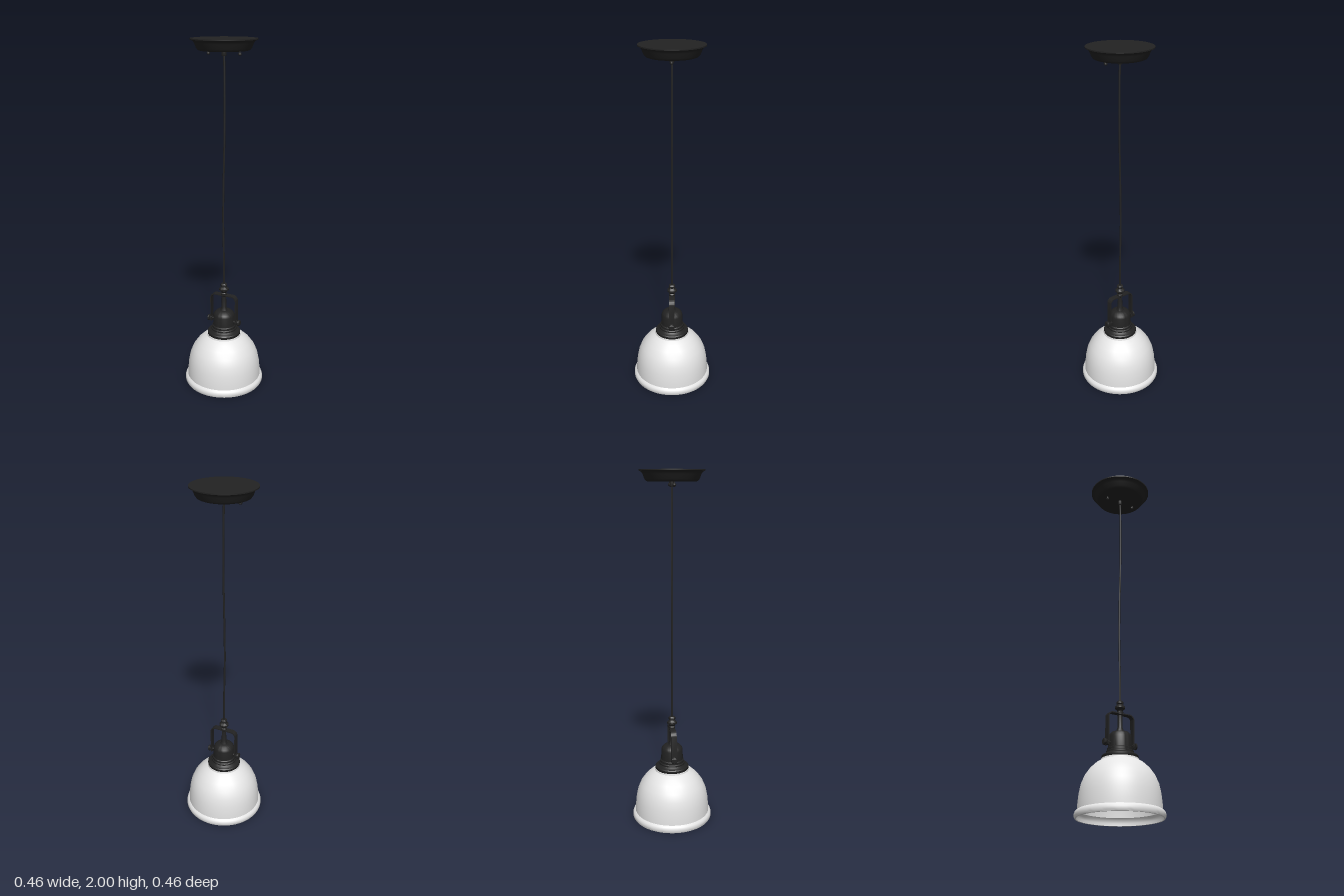
import * as THREE from 'three';
import { toCreasedNormals } from 'three/addons/utils/BufferGeometryUtils.js';

export function createModel() {
  const model = new THREE.Group();
  model.name = 'pendantLamp';
  const black = new THREE.MeshStandardMaterial({ color: 0x222222, side: THREE.DoubleSide });
  black.name = 'black metal';
  const white = new THREE.MeshStandardMaterial({ color: 0xe4e4e4, side: THREE.DoubleSide });
  white.name = 'white shade';

  const add = (name, geometry, material = black, parent = model) => {
    const mesh = new THREE.Mesh(geometry, material);
    mesh.name = name;
    parent.add(mesh);
    return mesh;
  };
  // Turned part from [radius, height] pairs, listed bottom to top on the outside
  const turned = (name, profile, material = black, segments = 48, parent = model) => {
    const points = profile.map(([r, y]) => new THREE.Vector2(r, y));
    const geometry = toCreasedNormals(new THREE.LatheGeometry(points, segments), 0.6);
    return add(name, geometry, material, parent);
  };

  // Ceiling canopy with its cord grip and two screws
  turned('canopy', [[0, 1.938], [0.128, 1.938], [0.138, 1.942], [0.146, 1.952], [0.155, 1.975],
    [0.163, 1.987], [0.177, 1.994], [0.177, 2], [0, 2]], black, 64);
  turned('cordGrip', [[0, 1.91], [0.012, 1.91], [0.014, 1.915], [0.014, 1.94]], black, 20);
  for (const side of [-1, 1]) {
    const screw = new THREE.Group();
    screw.name = 'canopyScrew';
    screw.position.set(side * 0.09, 0, 0);
    model.add(screw);
    turned('screwHead', [[0, 1.913], [0.007, 1.915], [0.01, 1.921], [0.008, 1.928],
      [0.004, 1.93], [0.004, 1.94]], black, 14, screw);
  }

  // Cord with a slight sway
  const cordPath = new THREE.CatmullRomCurve3([[0, 0.6], [-0.001, 0.8], [-0.005, 1.02], [-0.003, 1.2],
    [0.002, 1.45], [0.004, 1.65], [0.002, 1.85], [0, 1.93]].map(([x, y]) => new THREE.Vector3(x, y, 0)));
  add('cord', new THREE.TubeGeometry(cordPath, 40, 0.0055, 10));

  // Strain relief and stem
  turned('stem', [[0.026, 0.44], [0.02, 0.455], [0.014, 0.475], [0.013, 0.54], [0.018, 0.545], [0.018, 0.56],
    [0.014, 0.565], [0.02, 0.574], [0.028, 0.58], [0.028, 0.59], [0.02, 0.596], [0.016, 0.602],
    [0.019, 0.606], [0.019, 0.616], [0.014, 0.622], [0, 0.622]], black, 28);

  // Socket housing with stepped collar
  turned('socketHousing', [[0, 0.302], [0.095, 0.302], [0.097, 0.306], [0.097, 0.318], [0.093, 0.323],
    [0.082, 0.326], [0.074, 0.334], [0.074, 0.342], [0.069, 0.346], [0.069, 0.358], [0.064, 0.362],
    [0.062, 0.42], [0.058, 0.434], [0.046, 0.446], [0.026, 0.452], [0, 0.452]]);

  // Strap bracket: a rounded arch cut from flat bar
  const archOutline = (w, top, r, bottom) => {
    const points = [[w, bottom]];
    for (let i = 0; i <= 8; i++) {
      const a = (i / 8) * Math.PI / 2;
      points.push([w - r + r * Math.cos(a), top - r + r * Math.sin(a)]);
    }
    return points.concat(points.map(([x, y]) => [-x, y]).reverse());
  };
  const arch = archOutline(0.082, 0.552, 0.03, 0.37)
    .concat(archOutline(0.076, 0.546, 0.024, 0.37).reverse())
    .map(([x, y]) => new THREE.Vector2(x, y));
  const strap = new THREE.ExtrudeGeometry(new THREE.Shape(arch), { depth: 0.032, bevelEnabled: false });
  strap.translate(0, 0, -0.016);
  add('bracket', toCreasedNormals(strap, 0.6));

  // Thumb screws holding the bracket to the housing
  for (const side of [-1, 1]) {
    const knob = turned('thumbScrew', [[0, 0.055], [0.008, 0.055], [0.008, 0.074], [0.016, 0.074],
      [0.016, 0.084], [0.009, 0.086], [0.009, 0.09], [0.018, 0.092], [0.018, 0.1], [0.014, 0.103],
      [0, 0.103]], black, 20);
    knob.rotation.z = -side * Math.PI / 2;
    knob.position.y = 0.385;
  }

  // Bell shade: inner wall down, rolled rim, outer wall up
  turned('shade', [[0.09, 0.295], [0.12, 0.274], [0.15, 0.246], [0.176, 0.21], [0.194, 0.168], [0.204, 0.12],
    [0.208, 0.07], [0.209, 0.04], [0.218, 0.03], [0.221, 0.015], [0.22, 0], [0.228, 0], [0.232, 0.008],
    [0.232, 0.022], [0.228, 0.033], [0.217, 0.041], [0.216, 0.07], [0.211, 0.122], [0.201, 0.171],
    [0.183, 0.214], [0.156, 0.252], [0.126, 0.28], [0.1, 0.295], [0.098, 0.304], [0.09, 0.304]], white, 72);

  // Lamp holder inside the shade
  turned('lampHolder', [[0, 0.115], [0.018, 0.115], [0.024, 0.125], [0.026, 0.2], [0.036, 0.21],
    [0.036, 0.304]], black, 28);

  return model;
}
